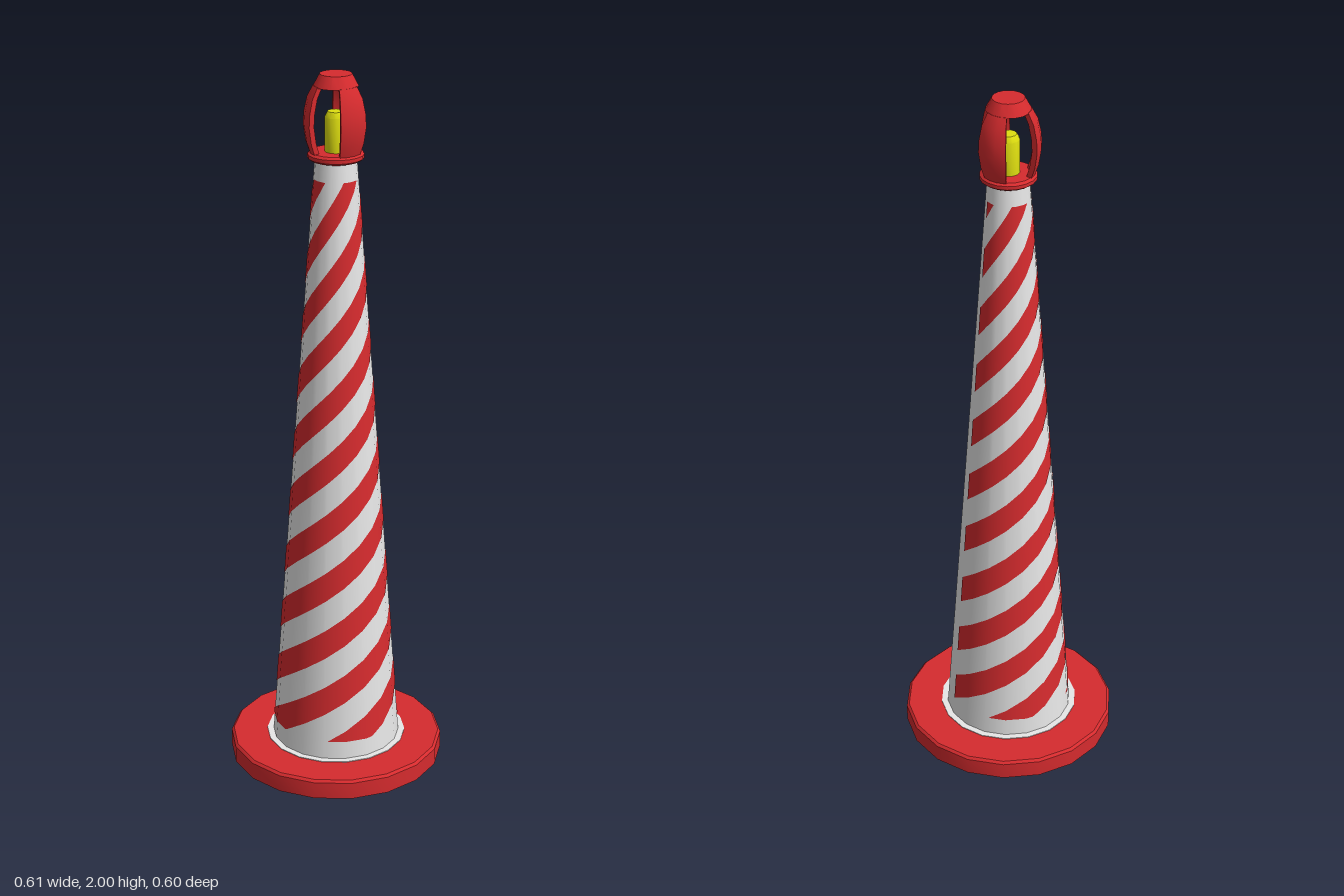
import * as THREE from 'three';
import { toCreasedNormals } from 'three/addons/utils/BufferGeometryUtils.js';

const SIDES = 18;
const DEG = Math.PI / 180;
const PHASE = 1.9; // angle of the first polygon corner, from +x towards -z

const mat = (name, color, side = THREE.FrontSide) => {
  const m = new THREE.MeshStandardMaterial({ color, side });
  m.name = name;
  return m;
};

// Turned part from [radius, y] points; angles in degrees from +x towards -z
function turned(points, sides = SIDES, start = PHASE, sweep = 360) {
  const g = new THREE.LatheGeometry(points.map(([r, y]) => new THREE.Vector2(r, y)),
    sides, (start + 90) * DEG, sweep * DEG);
  return toCreasedNormals(g, 35 * DEG);
}

// Body taper
const Y0 = 0.055, Y1 = 1.78, R0 = 0.182, R1 = 0.056;
const bodyRadius = (y) => R0 + (R1 - R0) * (y - Y0) / (Y1 - Y0);

// Helical stripes that hug the faceted body, leaving a two-facet seam bare
function stripeGeometry() {
  const PITCH = 0.173, STARTS = 4, HALF = 0.042, LOW = 0.11, HIGH = 1.72;
  const from = PHASE + 40, to = PHASE + 360, step = 2;
  const facet = 360 / SIDES;
  const pos = [], nor = [], idx = [];
  const addPoint = (a, y) => {
    const inFacet = (a - PHASE) % facet - facet / 2;
    const r = bodyRadius(y) * Math.cos(facet / 2 * DEG) / Math.cos(inFacet * DEG) + 0.0015;
    const c = Math.cos(a * DEG), s = -Math.sin(a * DEG);
    pos.push(r * c, y, r * s);
    const n = new THREE.Vector3(c, (R0 - R1) / (Y1 - Y0), s).normalize();
    nor.push(n.x, n.y, n.z);
  };
  for (let k = -5; k < 12; k++) {
    let joined = false;
    for (let a = from; a <= to + 0.01; a += step) {
      const mid = 0.25 + k * PITCH + a / 360 * STARTS * PITCH;
      const lo = Math.max(mid - HALF, LOW), hi = Math.min(mid + HALF, HIGH);
      if (hi <= lo) { joined = false; continue; }
      const i = pos.length / 3;
      addPoint(a, lo);
      addPoint(a, hi);
      if (joined) idx.push(i - 2, i, i - 1, i - 1, i, i + 1);
      joined = true;
    }
  }
  const g = new THREE.BufferGeometry();
  g.setAttribute('position', new THREE.Float32BufferAttribute(pos, 3));
  g.setAttribute('normal', new THREE.Float32BufferAttribute(nor, 3));
  g.setIndex(idx);
  return g;
}

export function createModel() {
  const model = new THREE.Group();
  model.name = 'trafficCone';
  const red = mat('red', 0xd62b2e);
  const redCage = mat('redCage', 0xd62b2e, THREE.DoubleSide);
  const white = mat('white', 0xe8e8e8);
  const yellow = mat('yellow', 0xdede10);

  const add = (name, geometry, material, parent = model) => {
    const m = new THREE.Mesh(geometry, material);
    m.name = name;
    parent.add(m);
    return m;
  };

  // Foot plate with a small bevel, and the white ring painted on it
  add('base', turned([[0, 0], [0.305, 0], [0.305, 0.049], [0.298, 0.056], [0, 0.056]]), red);
  add('baseRing', turned([[0.2, 0.056], [0.2, 0.058], [0.17, 0.058]]), white);

  // Tapered body and its stripes
  add('body', turned([[R0, Y0], [R1, Y1]]), white);
  add('stripes', stripeGeometry(), red);

  // Lamp
  add('lamp', turned([[0, 1.785], [0.03, 1.785], [0.03, 1.885], [0.022, 1.9], [0, 1.9]], 12), yellow);

  // Cage: collar, three curved ribs and a cap
  const cage = new THREE.Group();
  cage.name = 'cage';
  model.add(cage);
  add('collar', turned([[0, 1.77], [0.068, 1.77], [0.076, 1.776], [0.076, 1.786],
    [0.068, 1.792], [0, 1.792]]), red, cage);
  add('cap', turned([[0, 1.968], [0.06, 1.968], [0.043, 2], [0, 2]]), red, cage);

  const outer = [[0.068, 1.785], [0.08, 1.82], [0.087, 1.865], [0.085, 1.9], [0.076, 1.94], [0.06, 1.97]];
  const inner = outer.map(([r, y]) => [r - 0.016, y]).reverse();
  const profile = [...outer, ...inner, outer[0]];
  const endShape = new THREE.Shape(profile.map(([r, y]) => new THREE.Vector2(r, y)));
  for (const start of [42, 162, 282]) {
    add('rib', turned(profile, 3, start, 58), redCage, cage);
    for (const angle of [start, start + 58]) {
      add('ribEnd', new THREE.ShapeGeometry(endShape), redCage, cage).rotation.y = angle * DEG;
    }
  }
  return model;
}
